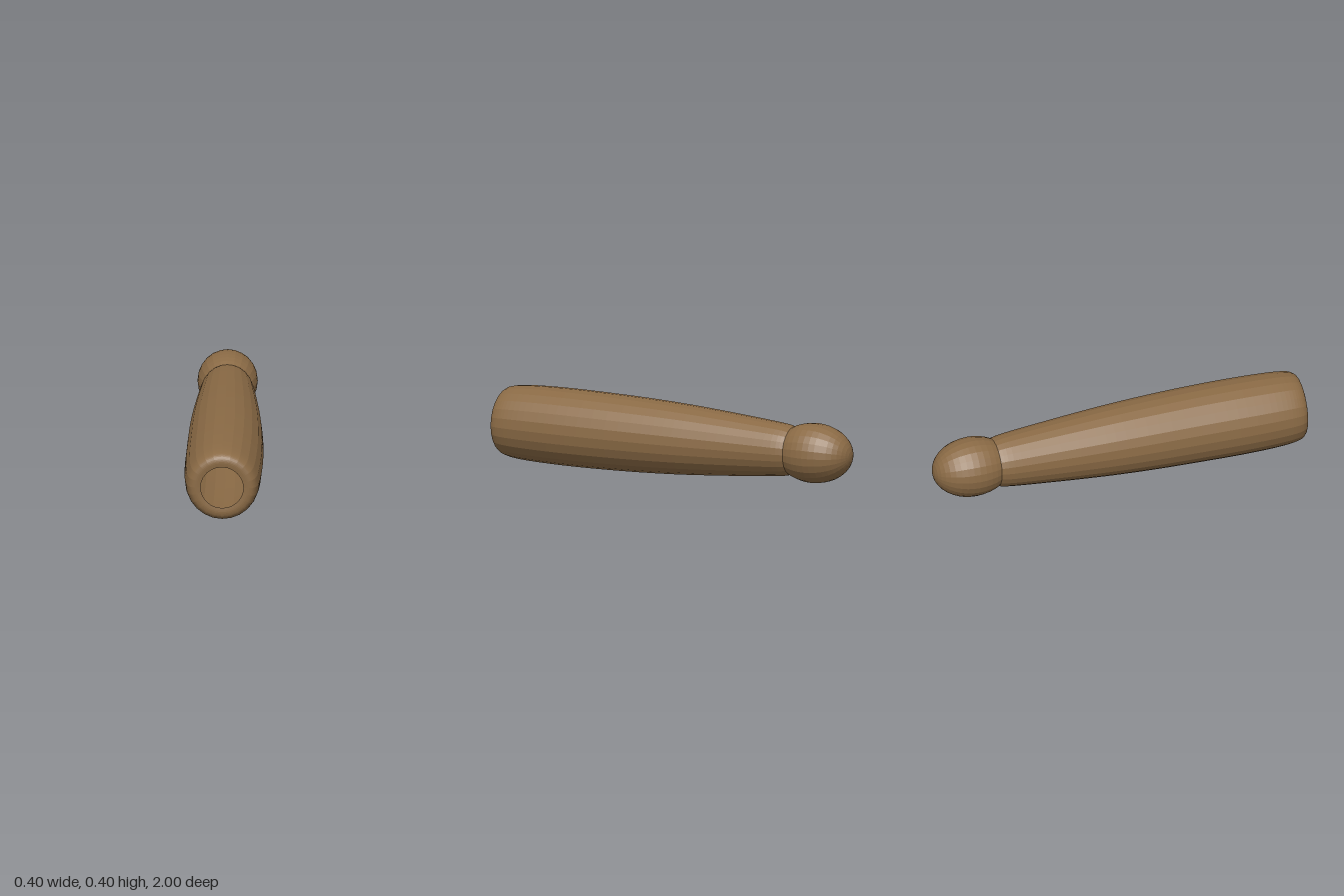
import * as THREE from 'three';

const SIDES = 24;

export function createModel() {
  const model = new THREE.Group();
  model.name = 'handle';
  const wood = new THREE.MeshStandardMaterial({
    color: 0x8a6a45, flatShading: true, side: THREE.DoubleSide,
  });

  // Hollow grip: [radius, distance along the axis], from the knob to the open rim
  const outline = [
    [0.125, -0.67], [0.138, -0.6], [0.156, -0.4], [0.172, -0.2], [0.185, 0], [0.195, 0.25],
    [0.2, 0.55], [0.198, 0.75], [0.192, 0.88], [0.182, 0.95], [0.165, 0.983], [0.14, 0.994], [0.11, 0.992],
  ].map(([r, z]) => new THREE.Vector2(r, z));
  const profile = new THREE.SplineCurve(outline).getPoints(48);
  const gripGeometry = new THREE.LatheGeometry(profile, SIDES).rotateX(Math.PI / 2);

  // The open end leans very slightly to one side
  const p = gripGeometry.attributes.position;
  for (let i = 0; i < p.count; i++) {
    const x = p.getX(i), z = p.getZ(i);
    const t = THREE.MathUtils.smoothstep(z, 0.3, 1);
    p.setX(i, x - 0.009 * t);
    p.setZ(i, z + 0.035 * x * t);
  }
  gripGeometry.computeVertexNormals();
  const grip = new THREE.Mesh(gripGeometry, wood);
  grip.name = 'hollowGrip';
  grip.position.y = 0.204;

  // Egg-shaped knob closing the narrow end, poles along the axis
  const knobGeometry = new THREE.SphereGeometry(1, SIDES, 20).rotateX(Math.PI / 2).scale(0.155, 0.155, 0.21);
  const knob = new THREE.Mesh(knobGeometry, wood);
  knob.name = 'knob';
  knob.position.set(0, 0.204, -0.79);

  model.add(grip, knob);
  return model;
}
